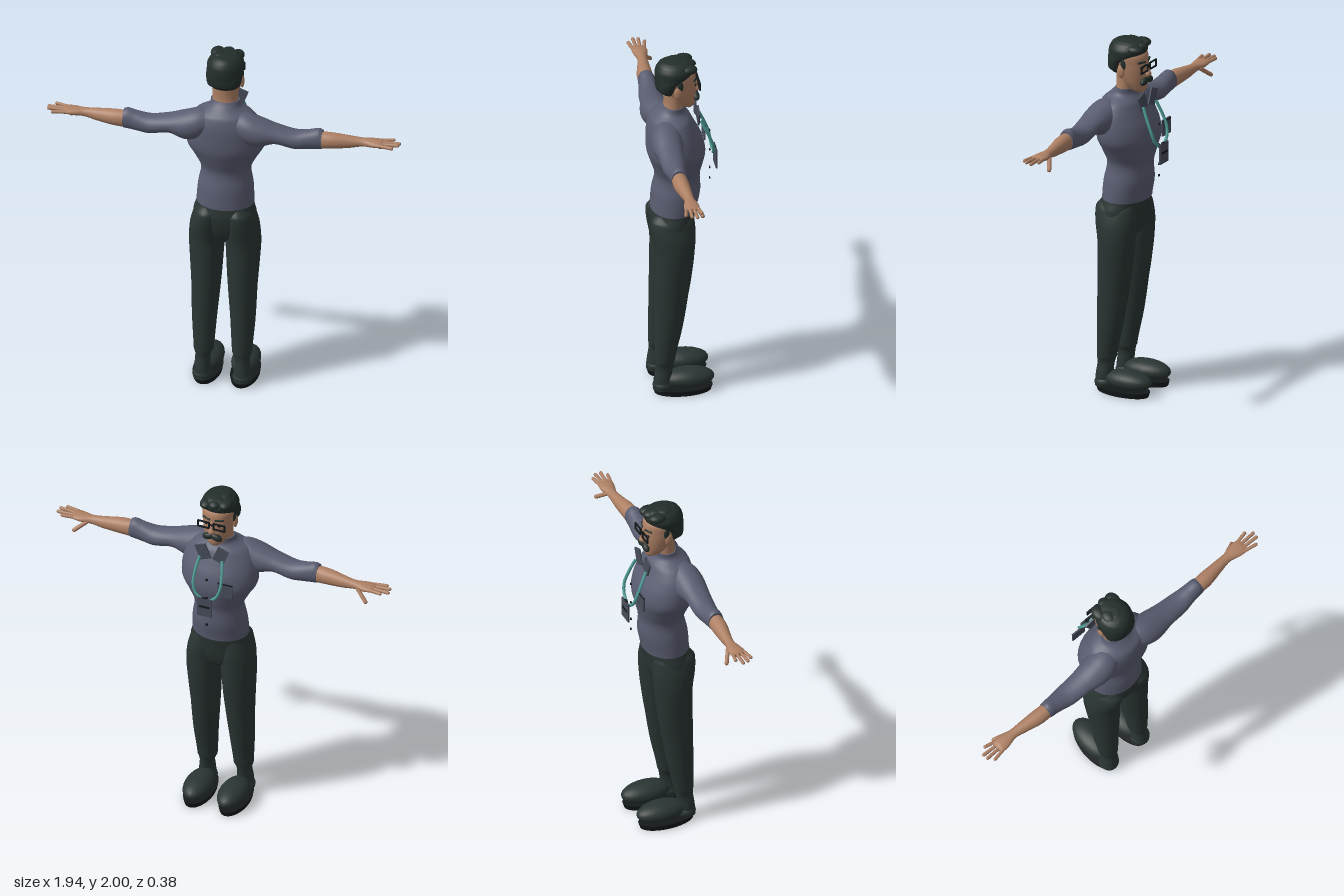
import * as THREE from 'three';

const mat = (name, color) => {
  const m = new THREE.MeshStandardMaterial({ color });
  m.name = name;
  return m;
};

// Smooth closed body through elliptical sections [t, cu, cv, ru, rv], t ascending.
// Axis y: u = x, v = z.  Axis x: u = z, v = y.
function loft(axis, secs, steps = 5, sides = 32) {
  const rows = [];
  const at = i => secs[Math.max(0, Math.min(secs.length - 1, i))];
  for (let i = 0; i < secs.length - 1; i++) {
    for (let s = 0; s < steps; s++) {
      const k = s / steps;
      rows.push(secs[0].map((_, c) => {
        const [a, b, d, e] = [at(i - 1)[c], at(i)[c], at(i + 1)[c], at(i + 2)[c]];
        if (c === 0) return b + (d - b) * k;
        return b + 0.5 * k * (d - a + k * (2 * a - 5 * b + 4 * d - e + k * (3 * (b - d) + e - a)));
      }));
    }
  }
  rows.push(secs[secs.length - 1]);
  const pos = [], idx = [];
  const put = (t, u, v) => (axis === 'y' ? pos.push(u, t, v) : pos.push(t, v, u));
  const ring = ([t, cu, cv, ru, rv]) => {
    for (let j = 0; j < sides; j++) {
      const a = (j / sides) * Math.PI * 2;
      put(t, cu + Math.cos(a) * ru, cv + Math.sin(a) * rv);
    }
  };
  rows.forEach(ring);
  for (let i = 0; i < rows.length - 1; i++) {
    for (let j = 0; j < sides; j++) {
      const a = i * sides + j, b = i * sides + (j + 1) % sides;
      idx.push(a, a + sides, b, b, a + sides, b + sides);
    }
  }
  // end caps
  [rows[0], rows[rows.length - 1]].forEach((r, end) => {
    const base = pos.length / 3;
    ring(r);
    put(r[0], r[1], r[2]);
    for (let j = 0; j < sides; j++) {
      const a = base + j, b = base + (j + 1) % sides;
      idx.push(base + sides, ...(end ? [b, a] : [a, b]));
    }
  });
  const g = new THREE.BufferGeometry();
  g.setAttribute('position', new THREE.Float32BufferAttribute(pos, 3));
  g.setIndex(idx);
  g.computeVertexNormals();
  return g;
}

const ball = (x, y, z, rx, ry, rz) =>
  new THREE.SphereGeometry(1, 24, 16).scale(rx, ry, rz).translate(x, y, z);

const box = (w, h, d, x, y, z, roll = 0) =>
  new THREE.BoxGeometry(w, h, d).rotateZ(roll).translate(x, y, z);

// Rounded rod between two points
function rod(a, b, r) {
  const p = new THREE.Vector3(...a), q = new THREE.Vector3(...b);
  const dir = q.clone().sub(p);
  const g = new THREE.CapsuleGeometry(r, dir.length(), 4, 10);
  g.applyQuaternion(new THREE.Quaternion().setFromUnitVectors(
    new THREE.Vector3(0, 1, 0), dir.normalize()));
  return g.translate(...p.add(q).multiplyScalar(0.5).toArray());
}

// Copy across x = 0 with corner order restored
function mirror(g) {
  const m = g.clone().scale(-1, 1, 1);
  const ix = m.index.array;
  for (let i = 0; i < ix.length; i += 3) [ix[i], ix[i + 1]] = [ix[i + 1], ix[i]];
  m.computeVertexNormals();
  return m;
}

export function createModel() {
  const model = new THREE.Group();
  const skin = mat('skin', 0xad8064);
  const shirt = mat('shirt', 0x5a5d71);
  const trousers = mat('trousers', 0x2a3533);
  const hair = mat('hair', 0x232e2b);
  const black = mat('black', 0x14181a);
  const teal = mat('teal', 0x4f9c96);
  const card = mat('card', 0x474c5a);

  const add = (name, g, m) => {
    const mesh = new THREE.Mesh(g, m);
    mesh.name = name;
    model.add(mesh);
  };
  const pair = (name, g, m) => {
    add(name + 'Left', g, m);
    add(name + 'Right', mirror(g), m);
  };

  // Shirt body and collar band
  add('torso', loft('y', [
    [1.095, 0, 0.043, 0.157, 0.126], [1.2, 0, 0.03, 0.150, 0.132], [1.3, 0, 0.022, 0.136, 0.122],
    [1.38, 0, 0.025, 0.172, 0.142], [1.45, 0, 0.03, 0.212, 0.158], [1.53, 0, 0.04, 0.213, 0.150],
    [1.6, 0, 0.055, 0.195, 0.130], [1.655, 0, 0.06, 0.155, 0.108], [1.69, 0, 0.055, 0.09, 0.075],
    [1.725, 0, 0.042, 0.078, 0.058],
  ]), shirt);

  // Sleeves, cuffs, forearms
  pair('sleeve', loft('x', [
    [0.06, 0.09, 1.61, 0.07, 0.06], [0.13, 0.1, 1.59, 0.085, 0.085], [0.2, 0.105, 1.575, 0.085, 0.082],
    [0.29, 0.105, 1.574, 0.07, 0.052], [0.4, 0.102, 1.553, 0.062, 0.052],
    [0.48, 0.1, 1.562, 0.05, 0.056], [0.525, 0.1, 1.57, 0.046, 0.060], [0.545, 0.1, 1.568, 0.044, 0.055],
  ]), shirt);
  pair('forearm', loft('x', [
    [0.52, 0.1, 1.563, 0.04, 0.048], [0.6, 0.098, 1.565, 0.042, 0.045], [0.7, 0.088, 1.565, 0.032, 0.034],
    [0.765, 0.083, 1.568, 0.027, 0.024], [0.82, 0.083, 1.57, 0.04, 0.021], [0.86, 0.085, 1.572, 0.042, 0.016],
    [0.88, 0.086, 1.572, 0.036, 0.01],
  ]), skin);
  // Fingers and thumb
  [0.93, 0.957, 0.96, 0.925].forEach((tip, i) => {
    const z = 0.118 - i * 0.021;
    pair('finger', rod([0.86, 1.573, z], [tip, 1.573 + (i % 2) * 0.004, z + (1.5 - i) * 0.008], 0.0095), skin);
  });
  pair('thumb', rod([0.79, 1.56, 0.058], [0.848, 1.513, 0.025], 0.0115), skin);

  // Trousers
  add('hips', loft('y', [
    [0.86, 0, 0.055, 0.03, 0.04], [0.9, 0, 0.052, 0.12, 0.085], [0.96, 0, 0.052, 0.17, 0.108],
    [1.04, 0, 0.053, 0.172, 0.122], [1.1, 0, 0.045, 0.155, 0.123],
  ]), trousers);
  pair('leg', loft('y', [
    [0.03, 0.11, 0.122, 0.05, 0.05], [0.1, 0.11, 0.118, 0.045, 0.048], [0.16, 0.108, 0.11, 0.04, 0.048],
    [0.2, 0.105, 0.106, 0.054, 0.055], [0.4, 0.105, 0.085, 0.068, 0.075], [0.6, 0.1, 0.068, 0.08, 0.09],
    [0.75, 0.1, 0.056, 0.09, 0.1], [0.87, 0.1, 0.05, 0.096, 0.106], [0.97, 0.095, 0.055, 0.092, 0.118],
    [1.05, 0.085, 0.06, 0.08, 0.118], [1.09, 0.08, 0.05, 0.06, 0.1],
  ]), trousers);

  // Shoes with flat soles
  pair('shoe', ball(0.1, 0.078, -0.022, 0.077, 0.055, 0.142), trousers);
  pair('heel', ball(0.11, 0.05, 0.118, 0.055, 0.04, 0.055), trousers);
  pair('sole', new THREE.CylinderGeometry(1, 0.94, 0.03, 32).scale(0.078, 1, 0.163)
    .translate(0.103, 0.015, 0.008), black);

  // Neck and head
  add('neck', loft('y', [
    [1.66, 0, 0.05, 0.075, 0.06], [1.74, 0, 0.04, 0.07, 0.055], [1.83, 0, 0.04, 0.07, 0.06],
  ]), skin);
  add('head', loft('y', [
    [1.705, 0, -0.04, 0.022, 0.02], [1.722, 0, -0.025, 0.046, 0.047], [1.765, 0, -0.002, 0.069, 0.076],
    [1.82, 0, 0.014, 0.083, 0.096], [1.87, 0, 0.022, 0.088, 0.102], [1.92, 0, 0.028, 0.088, 0.1],
    [1.965, 0, 0.03, 0.055, 0.06],
  ]), skin);
  pair('ear', ball(0.09, 1.832, 0.03, 0.011, 0.036, 0.022), skin);
  add('nose', loft('y', [
    [1.798, 0, -0.084, 0.012, 0.008], [1.812, 0, -0.088, 0.019, 0.018],
    [1.835, 0, -0.083, 0.012, 0.014], [1.872, 0, -0.074, 0.008, 0.008],
  ]), skin);
  pair('eye', ball(0.036, 1.852, -0.07, 0.012, 0.008, 0.008), black);
  pair('eyebrow', rod([0.018, 1.884, -0.078], [0.056, 1.885, -0.062], 0.006), hair);
  pair('moustache', ball(0, 0, 0, 0.034, 0.02, 0.018).rotateZ(-0.3).translate(0.024, 1.776, -0.078), hair);

  // Hair, swept back above a low nape
  add('hair', loft('y', [
    [1.812, 0, 0.072, 0.07, 0.045], [1.835, 0, 0.083, 0.09, 0.056], [1.88, 0, 0.072, 0.099, 0.07],
    [1.91, 0, 0.046, 0.1, 0.098], [1.945, 0, 0.034, 0.099, 0.106], [1.975, 0, 0.032, 0.08, 0.092],
    [1.99, 0, 0.03, 0.055, 0.07], [1.997, 0, 0.03, 0.02, 0.03],
  ]), hair);
  pair('sideburn', ball(0.086, 1.872, 0.018, 0.01, 0.035, 0.016), hair);
  [[-0.055, 1.968, -0.02], [0.0, 1.965, -0.03], [0.05, 1.955, -0.03], [-0.03, 1.975, 0.03]].forEach(
    ([x, y, z]) => add('hairWave', ball(x, y, z, 0.038, 0.025, 0.05), hair));

  // Spectacles: rectangular rims, bridge and short temples
  for (const s of [-1, 1]) {
    const x = s * 0.045;
    for (const dy of [-0.018, 0.018]) add('rimBar', box(0.07, 0.007, 0.008, x, 1.855 + dy, -0.092), black);
    for (const dx of [-0.032, 0.032]) add('rimSide', box(0.007, 0.036, 0.008, x + dx, 1.855, -0.092), black);
  }
  add('bridge', box(0.026, 0.007, 0.008, 0, 1.86, -0.092), black);

  // Collar flaps, pocket and buttons
  pair('collarFlap', box(0.066, 0.092, 0.009, 0.052, 1.668, -0.085, -0.38), card);
  add('pocket', box(0.085, 0.092, 0.008, -0.1, 1.49, -0.14), card);
  add('pocketHem', box(0.085, 0.008, 0.009, -0.1, 1.528, -0.141), black);
  for (const y of [1.54, 1.42, 1.31, 1.245]) {
    add('button', new THREE.CylinderGeometry(0.007, 0.007, 0.006, 12)
      .rotateX(Math.PI / 2).translate(0, y, -0.155), black);
  }

  // Lanyard and hanging card
  const strap = new THREE.CatmullRomCurve3([
    [0.065, 1.645, -0.095], [0.077, 1.57, -0.13], [0.078, 1.5, -0.158], [0.06, 1.45, -0.168], [0.012, 1.41, -0.172],
  ].map(p => new THREE.Vector3(...p)));
  pair('lanyard', new THREE.TubeGeometry(strap, 24, 0.0085, 8), teal);
  add('badge', box(0.085, 0.115, 0.008, 0, 1.38, -0.186), card);
  add('badgeStripe', box(0.06, 0.012, 0.004, 0, 1.385, -0.191), black);
  add('badgeClip', box(0.03, 0.014, 0.012, 0, 1.432, -0.183), black);

  return model;
}
